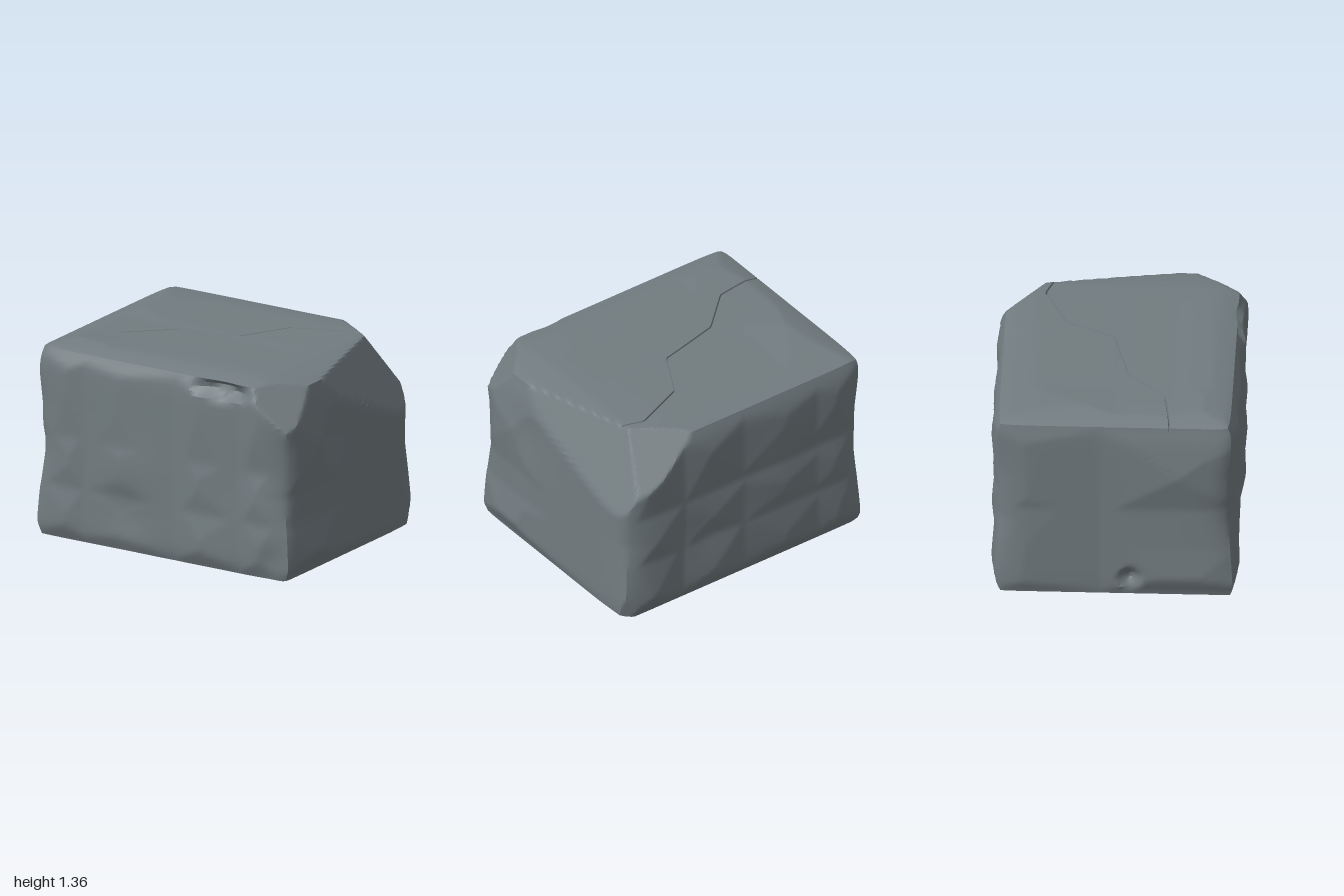
import * as THREE from 'three';
import { toCreasedNormals } from 'three/addons/utils/BufferGeometryUtils.js';

const V = (x, y, z) => new THREE.Vector3(x, y, z);
const HALF = V(0.95, 0.65, 0.765), MID_Y = 0.68, SEG_Z = 64;

// straight interpolation through [position, value] points
function along(table, s) {
  let i = 0;
  while (i < table.length - 2 && s > table[i + 1][0]) i++;
  const [a, b] = [table[i], table[i + 1]];
  return a[1] + (b[1] - a[1]) * THREE.MathUtils.clamp((s - a[0]) / (b[0] - a[0]), 0, 1);
}

// path of the crack over the top, as x, z
const CRACK = [[-0.95, 0.37], [-0.62, 0.32], [-0.36, 0.07], [0.08, -0.04],
  [0.25, -0.36], [0.61, -0.51], [0.78, -0.45], [0.95, -0.45]];

// how far each face stands out, along its two directions
const LEFT = { // +x face, by y and z
  a: [[0.05, 0.945], [0.17, 0.99], [0.4, 0.96], [0.6, 0.96], [0.93, 1], [1.2, 0.955], [1.31, 0.935]],
  b: [[-0.76, 0.935], [-0.5, 0.945], [-0.1, 0.955], [0.3, 0.97], [0.42, 1], [0.6, 0.985], [0.76, 0.965]],
};
const RIGHT = { // -x face, by y and z
  a: [[0.05, 0.945], [0.17, 0.985], [0.4, 0.965], [0.7, 0.955], [0.97, 1], [1.2, 0.965], [1.31, 0.945]],
  b: [[-0.77, 0.945], [-0.6, 0.965], [-0.1, 0.945], [0.05, 0.96], [0.43, 1], [0.6, 0.98], [0.75, 0.97]],
};
const FRONT = { // by x and y
  a: [[-0.95, 0.77], [-0.72, 0.795], [-0.6, 0.775], [-0.33, 0.79], [0.1, 0.768], [0.3, 0.795],
    [0.6, 0.77], [0.75, 0.795], [0.95, 0.76]],
  b: [[0.05, 0.77], [0.17, 0.8], [0.4, 0.775], [0.6, 0.8], [0.75, 0.78], [1.2, 0.8], [1.31, 0.765]],
};
const BACK = { // by x and y
  a: [[-0.95, 0.77], [-0.75, 0.795], [-0.6, 0.78], [-0.33, 0.795], [0, 0.775], [0.28, 0.8],
    [0.5, 0.77], [0.75, 0.8], [0.95, 0.76]],
  b: [[0.05, 0.76], [0.17, 0.8], [0.45, 0.775], [0.6, 0.8], [0.8, 0.77], [1.15, 0.8], [1.31, 0.77]],
};
const TOP = { // by x and z, measured from the middle height
  a: [[-0.95, 0.64], [-0.76, 0.68], [-0.5, 0.665], [0.5, 0.665], [0.72, 0.66], [0.95, 0.63]],
  b: [[-0.76, 0.65], [-0.5, 0.67], [-0.2, 0.68], [0, 0.662], [0.4, 0.662], [0.58, 0.672], [0.76, 0.645]],
};
const BOTTOM = { // by x and z, measured from the middle height
  a: [[-0.95, 0.64], [-0.76, 0.68], [-0.5, 0.66], [0.5, 0.66], [0.76, 0.675], [0.95, 0.635]],
  b: [[-0.76, 0.65], [-0.6, 0.675], [-0.4, 0.66], [-0.1, 0.68], [0.3, 0.655], [0.62, 0.66], [0.76, 0.64]],
};
const reach = (face, a, b) => Math.min(along(face.a, a), along(face.b, b));

// the upright edges are worn in around the middle height
const WORN_EDGE = [[0.05, 0.005], [0.17, 0.015], [0.4, 0.03], [0.6, 0.045], [0.95, 0.04], [1.31, 0.015]];

// soft hollow or swelling around a point
const bump = (a, b, ca, cb, r) => Math.exp(-((a - ca) ** 2 + (b - cb) ** 2) / (r * r));

// broken-off corners, each a plane through three points
const cuts = [
  [V(0.68, 1.33, 0.73), V(0.93, 1.33, 0.42), V(0.94, 1.01, 0.76)],
  [V(0.93, 1.33, 0.42), V(0.70, 1.31, -0.65), V(0.95, 0.75, -0.70)],
  [V(0.35, 1.33, -0.77), V(0.77, 1.33, -0.47), V(0.86, 0.98, -0.73)],
  [V(0.95, 0.05, -0.66), V(0.82, 0.05, -0.77), V(0.92, 0.21, -0.74)],
].map((points) => {
  const plane = new THREE.Plane().setFromCoplanarPoints(...points);
  return plane.distanceToPoint(V(0, MID_Y, 0)) > 0 ? plane.negate() : plane;
});

function shape(p) {
  const u = p.x / HALF.x, v = p.y / HALF.y, w = p.z / HALF.z;
  const x0 = p.x, y0 = p.y + MID_Y;
  const step = 2 / SEG_Z, onCrack = Math.abs(w) < step * 0.5;

  // bend the rows of the top along the crack
  const side = Math.sign(w), c = along(CRACK, x0), inner = c + side * 0.006;
  const t = Math.max(0, (Math.abs(w) - step) / (1 - step));
  const bent = onCrack ? c : inner + (side * HALF.z - inner) * t;
  const z0 = THREE.MathUtils.lerp(p.z, bent, THREE.MathUtils.smoothstep(v, 0.2, 1));

  // push every face out to its uneven outline and wear down its borders
  const rimU = u ** 12, rimV = v ** 12, rimW = w ** 12, worn = along(WORN_EDGE, y0);
  let x = u * (reach(u > 0 ? LEFT : RIGHT, y0, z0) - 0.01 * rimV - worn * rimW);
  let y = MID_Y + v * (reach(v > 0 ? TOP : BOTTOM, x0, z0) - 0.012 * Math.max(rimU, rimW));
  let z = z0 / HALF.z
    * (reach(z0 > 0 ? FRONT : BACK, x0, y0) - 0.025 * rimV - worn * rimU);

  // broad hollows and swellings
  if (w > 0) {
    z += w * (0.01 * bump(x, y, -0.2, 0.6, 0.2) - 0.025 * bump(x, y, -0.28, 0.3, 0.16)
      - 0.015 * bump(x, y, 0.75, 0.75, 0.15) - 0.02 * bump(x, y, 0.82, 0.16, 0.1));
  } else {
    z += w * (0.01 * bump(x, y, -0.3, 0.8, 0.2) - 0.015 * bump(x, y, 0.3, 0.5, 0.2));
  }
  if (u > 0) x -= u * 0.015 * bump(z, y, 0.3, 0.95, 0.2);

  // sink the crack
  if (v > 0.999 && onCrack && u < 0.85) y -= 0.026;
  // notch under the front top edge
  if (w > 0.999) {
    const d = Math.hypot((x - 0.45) / 0.25, (y - 1.255) / 0.065);
    z -= 0.07 * Math.min(1, 1.6 * Math.max(0, 1 - d));
  }
  // small pit low on the right side
  if (u < -0.999) x += 0.07 * Math.max(0, 1 - Math.hypot(z - 0.1, y - 0.18) / 0.09);

  p.set(x, y, z);
  for (const plane of cuts) {
    p.addScaledVector(plane.normal, -Math.max(0, plane.distanceToPoint(p)));
  }
}

export function createModel() {
  const stone = new THREE.MeshStandardMaterial({ color: 0x727c80 });
  stone.name = 'slate grey stone';

  const geometry = new THREE.BoxGeometry(
    HALF.x * 2, HALF.y * 2, HALF.z * 2, 76, 44, SEG_Z);
  const pos = geometry.attributes.position;
  const p = V(0, 0, 0);
  for (let i = 0; i < pos.count; i++) {
    shape(p.fromBufferAttribute(pos, i));
    pos.setXYZ(i, p.x, p.y, p.z);
  }
  geometry.clearGroups();

  const block = new THREE.Mesh(toCreasedNormals(geometry, 0.6), stone);
  block.name = 'stoneBlock';
  const group = new THREE.Group();
  group.name = 'crackedStone';
  group.add(block);
  return group;
}
